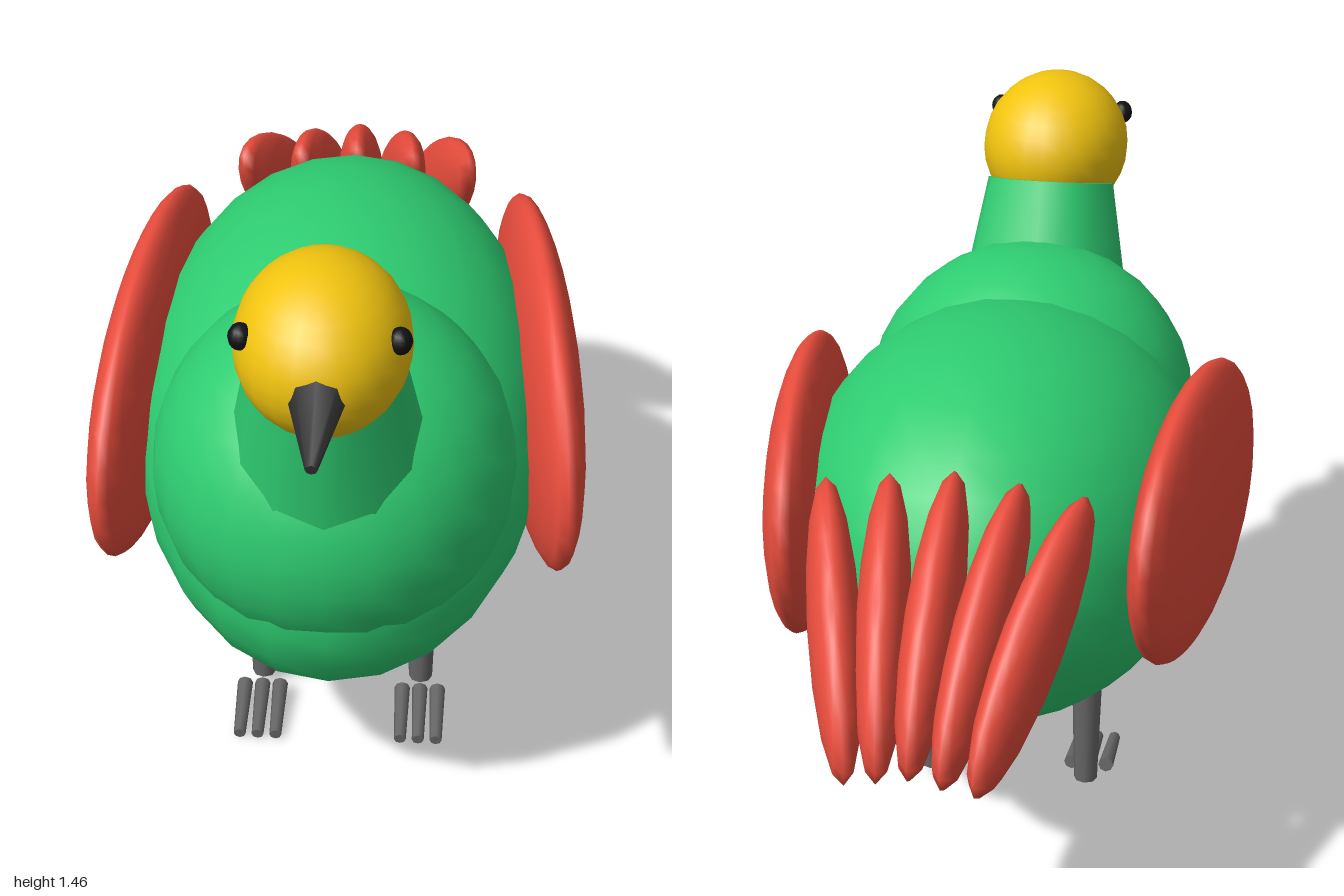
import * as THREE from 'three';

const mat = (color) => new THREE.MeshStandardMaterial({ color });

export function createModel() {
  const bird = new THREE.Group();
  bird.name = 'bird';
  const green = mat(0x2ecc71), red = mat(0xe74c3c), yellow = mat(0xf1c40f);
  const dark = mat(0x333333), black = mat(0x111111), legGrey = mat(0x666666);

  // Ellipsoid with half-sizes r, yawed after being pitched
  function ellipsoid(name, material, r, pos, pitch = 0, yaw = 0, w = 24, h = 16) {
    const mesh = new THREE.Mesh(new THREE.SphereGeometry(1, w, h), material);
    mesh.name = name;
    mesh.scale.set(...r);
    mesh.position.set(...pos);
    mesh.rotation.set(pitch, yaw, 0, 'YXZ');
    bird.add(mesh);
    return mesh;
  }

  // Tapered rod from point a (radius ra) to point b (radius rb)
  function rod(name, material, a, b, ra, rb, sides = 8) {
    const from = new THREE.Vector3(...a), to = new THREE.Vector3(...b);
    const dir = to.clone().sub(from);
    const mesh = new THREE.Mesh(new THREE.CylinderGeometry(rb, ra, dir.length(), sides), material);
    mesh.name = name;
    mesh.position.copy(from).add(to).multiplyScalar(0.5);
    mesh.quaternion.setFromUnitVectors(new THREE.Vector3(0, 1, 0), dir.normalize());
    bird.add(mesh);
    return mesh;
  }

  // Body, breast, neck and head
  ellipsoid('body', green, [0.43, 0.43, 0.65], [0, 0.72, 0.02], 0.2);
  ellipsoid('breast', green, [0.36, 0.36, 0.37], [0, 0.81, 0.34]);
  rod('neck', green, [0, 0.92, 0.5], [0, 1.24, 0.6], 0.2, 0.14, 12);
  ellipsoid('head', yellow, [0.16, 0.16, 0.195], [0, 1.3, 0.675]);
  rod('beak', dark, [0, 1.295, 0.83], [0, 1.252, 1.0], 0.056, 0.011);

  // Fan of upright tail feathers converging towards the tips
  for (let i = -2; i <= 2; i++) {
    ellipsoid('tailFeather', red, [0.05, 0.1, 0.305],
      [i * 0.092, 0.86 - 0.014 * Math.abs(i), -0.75], -0.67, i * 0.14, 16, 12);
  }

  // Paired parts: eyes, wings, legs and toes
  for (const [side, s] of [['left', 1], ['right', -1]]) {
    ellipsoid(side + 'Eye', black, [0.022, 0.025, 0.025], [s * 0.138, 1.355, 0.755], 0, 0, 12, 8);
    ellipsoid(side + 'Wing', red, [0.075, 0.298, 0.491], [s * 0.405, 0.775, -0.04], 0.16, s * 0.12);
    rod(side + 'Leg', legGrey, [s * 0.175, 0.03, 0.06], [s * 0.175, 0.35, 0.06], 0.026, 0.035);
    for (let t = -1; t <= 1; t++) {
      const x = s * 0.175 + t * 0.039;
      rod(side + 'Toe', legGrey, [x, 0.034, 0.11], [x, 0.015, 0.26], 0.017, 0.013);
    }
  }
  return bird;
}
